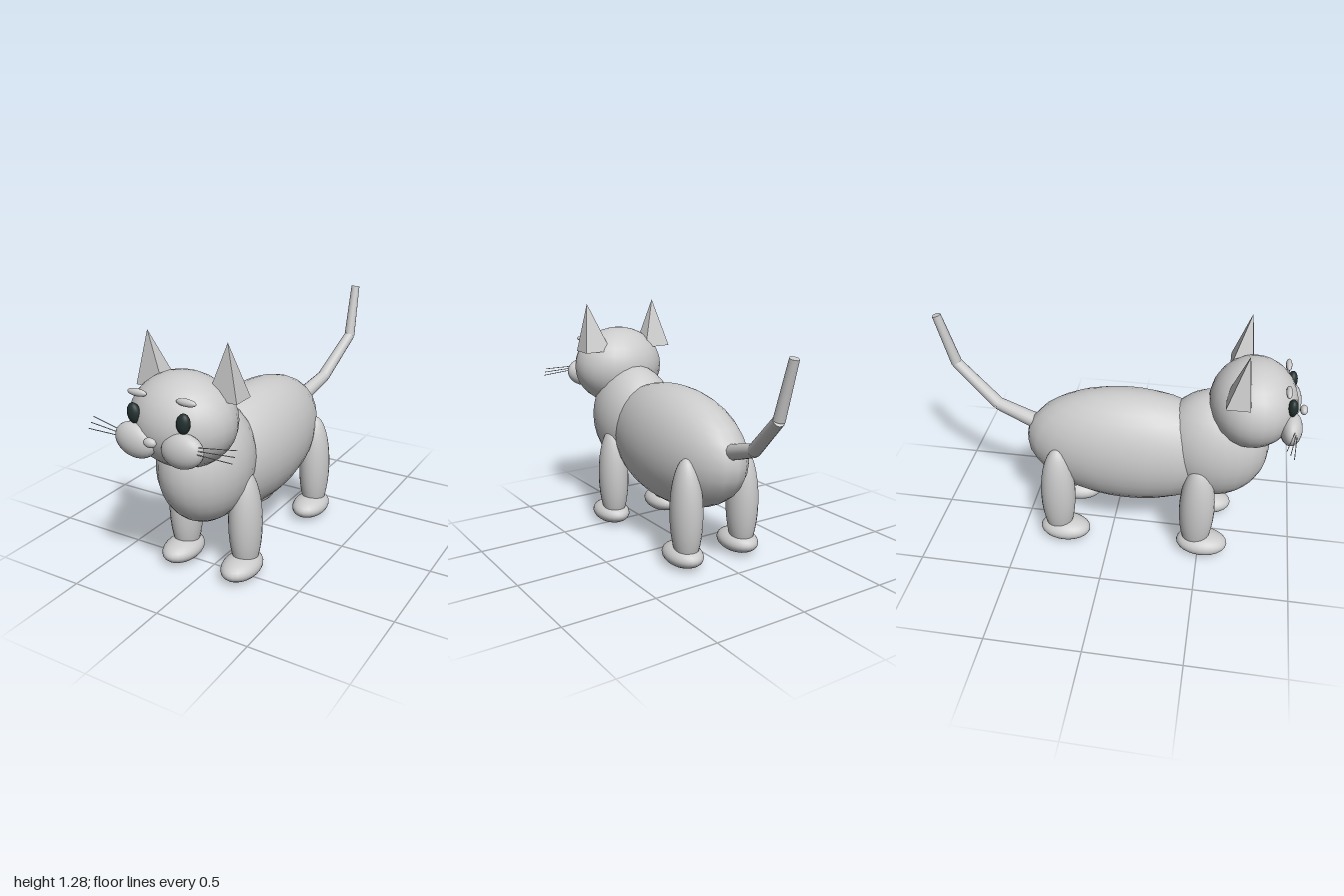
import * as THREE from 'three';

const grey = new THREE.MeshStandardMaterial({ color: 0xcccccc });
const dark = new THREE.MeshStandardMaterial({ color: 0x22302f });
const flat = new THREE.MeshStandardMaterial({ color: 0xcccccc, flatShading: true });

export function createModel() {
  const cat = new THREE.Group();
  cat.name = 'cat';

  const add = (name, geometry, material = grey) => {
    const mesh = new THREE.Mesh(geometry, material);
    mesh.name = name;
    cat.add(mesh);
    return mesh;
  };

  // Ellipsoid from centre and radii
  const blob = (name, centre, radii, material = grey) => {
    const mesh = add(name, new THREE.SphereGeometry(1, 24, 16), material);
    mesh.position.set(...centre);
    mesh.scale.set(...radii);
    return mesh;
  };

  // Tapered rod between two points
  const rod = (name, from, to, r0, r1, sides) => {
    const a = new THREE.Vector3(...from), b = new THREE.Vector3(...to);
    const dir = b.clone().sub(a);
    const mesh = add(name, new THREE.CylinderGeometry(r1, r0, dir.length(), sides));
    mesh.position.copy(a).add(b).multiplyScalar(0.5);
    mesh.quaternion.setFromUnitVectors(new THREE.Vector3(0, 1, 0), dir.normalize());
    return mesh;
  };

  // Torso, chest and head
  blob('body', [0, 0.56, 0.08], [0.245, 0.33, 0.57]);
  blob('chest', [0, 0.62, 0.54], [0.225, 0.31, 0.29]);
  blob('head', [0, 0.902, 0.72], [0.265, 0.228, 0.227]);
  blob('nose', [0, 0.876, 0.98], [0.033, 0.023, 0.02]);

  for (const s of [1, -1]) {
    const side = s > 0 ? 'left' : 'right';

    // Legs and paws
    for (const [end, legZ, pawZ, half] of [['Front', 0.48, 0.518, 0.29], ['Back', -0.287, -0.252, 0.297]]) {
      blob(`${side}${end}Leg`, [s * 0.18, half + 0.005, legZ], [0.084, half, 0.096]);
      blob(`${side}${end}Paw`, [s * 0.18, 0.066, pawZ], [0.096, 0.062, 0.14]);
    }

    // Face
    blob(`${side}Cheek`, [s * 0.128, 0.84, 0.918], [0.11, 0.083, 0.056]).rotation.z = s * 0.2;
    blob(`${side}Eye`, [s * 0.134, 0.967, 0.912], [0.034, 0.049, 0.026], dark).rotation.z = s * -0.15;
    blob(`${side}Brow`, [s * 0.133, 1.056, 0.884], [0.053, 0.018, 0.016]);

    // Ear: four-sided pyramid on an axis-aligned base, tip leaning forward
    const ear = new THREE.ConeGeometry(Math.SQRT1_2, 1, 4, 1);
    ear.rotateY(Math.PI / 4);
    ear.scale(0.16, 0.27, 0.12);
    const p = ear.attributes.position;
    for (let i = 0; i < p.count; i++) {
      if (p.getY(i) > 0) p.setXYZ(i, s * 0.021, p.getY(i), 0.033);
    }
    add(`${side}Ear`, ear, flat).position.set(s * 0.198, 1.15, 0.646);

    // Whiskers
    for (const k of [-1, 0, 1]) {
      rod(`${side}Whisker`, [s * 0.19, 0.868 + k * 0.012, 0.942 - k * 0.004],
        [s * 0.393, 0.868 + k * 0.023, 0.91 - k * 0.02], 0.002, 0.002, 6);
    }
  }

  // Tail in three tapering segments
  const joints = [[0.005, 0.635, -0.42], [0.045, 0.71, -0.66], [0.1, 0.915, -0.895], [0.092, 1.203, -0.973]];
  const radii = [0.044, 0.035, 0.03, 0.024];
  for (let i = 0; i < 3; i++) {
    rod(`tailSegment${i + 1}`, joints[i], joints[i + 1], radii[i], radii[i + 1], 12);
  }
  return cat;
}
